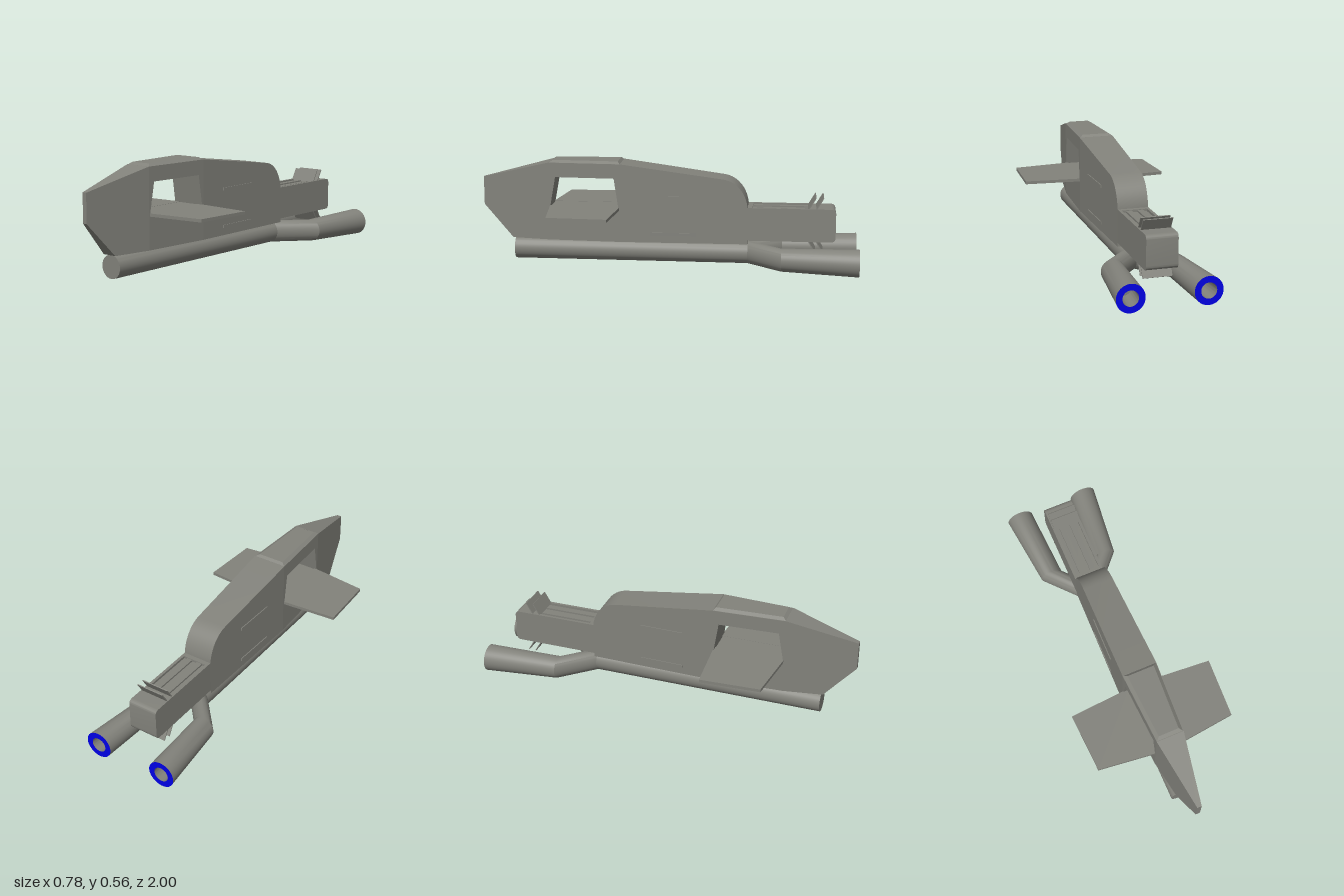
import * as THREE from 'three';
import { toCreasedNormals } from 'three/addons/utils/BufferGeometryUtils.js';

export function createModel() {
  const model = new THREE.Group();
  model.name = 'speeder';
  const hull = new THREE.MeshStandardMaterial({ color: 0x82827b });
  hull.name = 'hull grey';
  const blue = new THREE.MeshStandardMaterial({ color: 0x0000e6 });
  blue.name = 'exhaust blue';

  const add = (name, geo, mat = hull, x = 0, y = 0, z = 0) => {
    const mesh = new THREE.Mesh(geo, mat);
    mesh.name = name;
    mesh.position.set(x, y, z);
    model.add(mesh);
    return mesh;
  };
  const box = (name, w, h, d, x, y, z) => add(name, new THREE.BoxGeometry(w, h, d), hull, x, y, z);
  const polygon = (pts) => new THREE.Shape(pts.map(([a, b]) => new THREE.Vector2(a, b)));

  // Half width of the hull along its length
  const stations = [[1, 0.012], [0.635, 0.073], [0.25, 0.093], [-0.42, 0.08], [-1, 0.08]];
  const halfWidth = (z) => {
    for (let i = 1; i < stations.length; i++) {
      const [z0, w0] = stations[i - 1], [z1, w1] = stations[i];
      if (z >= z1) return w0 + (w1 - w0) * (z0 - z) / (z0 - z1);
    }
    return 0.08;
  };

  // Side profile drawn as (z, y), spread across the tapered width
  const slab = (name, shape) => {
    const geo = new THREE.ExtrudeGeometry(shape, { depth: 1, bevelEnabled: false, curveSegments: 10 });
    const p = geo.attributes.position;
    for (let i = 0; i < p.count; i++) {
      const z = p.getX(i), y = p.getY(i), side = 1 - 2 * p.getZ(i);
      p.setXYZ(i, side * halfWidth(z), y, z);
    }
    return add(name, toCreasedNormals(geo, 0.5));
  };

  // Nose wedge
  slab('nose', polygon([[1, 0.31], [1, 0.46], [0.635, 0.552], [0.635, 0.135], [0.84, 0.135]]));

  // Cabin with an open window right through it
  const cabin = polygon([[0.25, 0.135], [0.635, 0.135], [0.635, 0.552], [0.25, 0.552]]);
  cabin.holes.push(polygon([[0.26, 0.31], [0.285, 0.475], [0.6, 0.475], [0.63, 0.31]]));
  slab('cabin', cabin);

  // Rear hull with a rounded shoulder
  const rear = new THREE.Shape();
  rear.moveTo(-0.42, 0.135);
  rear.lineTo(0.25, 0.135);
  rear.lineTo(0.25, 0.552);
  rear.lineTo(-0.29, 0.48);
  rear.bezierCurveTo(-0.36, 0.47, -0.41, 0.41, -0.42, 0.33);
  slab('rearHull', rear);

  // Raised roof plate with bevelled edges
  const roof = new THREE.BoxGeometry(1, 1, 1);
  const rp = roof.attributes.position;
  for (let i = 0; i < rp.count; i++) {
    const top = rp.getY(i) > 0;
    const z = rp.getZ(i) > 0 ? (top ? 0.615 : 0.635) : (top ? 0.265 : 0.25);
    rp.setXYZ(i, Math.sign(rp.getX(i)) * (halfWidth(z) - (top ? 0.02 : 0)), top ? 0.564 : 0.55, z);
  }
  add('roofPlate', toCreasedNormals(roof, 0.1));

  // Tail block with rounded rear corners
  const tail = new THREE.Shape();
  tail.moveTo(-0.74, 0.155);
  tail.lineTo(-0.74, 0.33);
  tail.lineTo(-0.855, 0.33);
  tail.quadraticCurveTo(-0.88, 0.33, -0.88, 0.305);
  tail.lineTo(-0.88, 0.18);
  tail.quadraticCurveTo(-0.88, 0.155, -0.855, 0.155);
  slab('tailBlock', tail);

  // Tail boom: sunken core, side walls and rails
  box('boomCore', 0.14, 0.15, 0.33, 0, 0.2425, -0.58);
  for (const s of [-1, 1]) {
    box('boomWall', 0.015, 0.175, 0.33, s * 0.0725, 0.2425, -0.58);
    box('boomRail', 0.03, 0.168, 0.29, s * 0.03, 0.2425, -0.59);
  }
  box('boomCollar', 0.13, 0.175, 0.03, 0, 0.2425, -0.43);

  // Slanted air brakes above and below the tail
  for (const s of [-1, 1]) {
    for (const z of [-0.755, -0.795]) {
      const fin = box('airBrake', 0.15, 0.075, 0.005, 0, 0.2425 + s * 0.113, z);
      fin.rotation.x = -s * 0.53;
    }
  }

  // Flat wings and thin side strips
  for (const s of [-1, 1]) {
    const outline = polygon([[0.06, 0.255], [0.39, 0.28], [0.375, 0.595], [0.06, 0.632]].map(([x, z]) => [s * x, -z]));
    const wing = new THREE.ExtrudeGeometry(outline, { depth: 0.016, bevelEnabled: false });
    wing.rotateX(-Math.PI / 2);
    add(s > 0 ? 'leftWing' : 'rightWing', wing, hull, 0, 0.304, 0);
    for (const y of [0.182, 0.38]) {
      const strip = box('sideStrip', 0.008, 0.015, 0.24, s * 0.0882, y, -0.03);
      strip.rotation.y = s * 0.0194;
    }
  }
  box('cabinFloor', 0.13, 0.014, 0.36, 0, 0.312, 0.445);

  // Round pipe through rings of [x, z, radius]; rings running forward face inward
  const axisY = 0.075;
  const pipe = (name, rings) => {
    const n = rings.length - 1;
    const geo = new THREE.CylinderGeometry(1, 1, 1, 40, n, true);
    const p = geo.attributes.position, uv = geo.attributes.uv;
    for (let i = 0; i < p.count; i++) {
      const [x, z, r] = rings[Math.round((1 - uv.getY(i)) * n)];
      p.setXYZ(i, x + p.getX(i) * r, axisY - p.getZ(i) * r, z);
    }
    return add(name, toCreasedNormals(geo, 0.5));
  };

  // Central pipe under the hull
  pipe('centralPipe', [[0, 0.83, 0.06], [0, -0.43, 0.06]]);
  add('centralPipeCap', new THREE.CircleGeometry(0.06, 40), hull, 0, axisY, 0.83);

  // Forked exhausts with hollow ends and blue rims
  for (const s of [-1, 1]) {
    pipe('exhaustPipe', [[0, -0.42, 0.06], [s * 0.16, -0.6, 0.06], [s * 0.192, -1, 0.072]]);
    pipe('exhaustBore', [[s * 0.192, -1, 0.04], [s * 0.18, -0.85, 0.04]]);
    const rim = add('exhaustRim', new THREE.RingGeometry(0.04, 0.072, 40), blue, s * 0.192, axisY, -1);
    const end = add('boreEnd', new THREE.CircleGeometry(0.04, 40), hull, s * 0.18, axisY, -0.85);
    rim.rotation.y = end.rotation.y = Math.PI;
  }

  return model;
}
